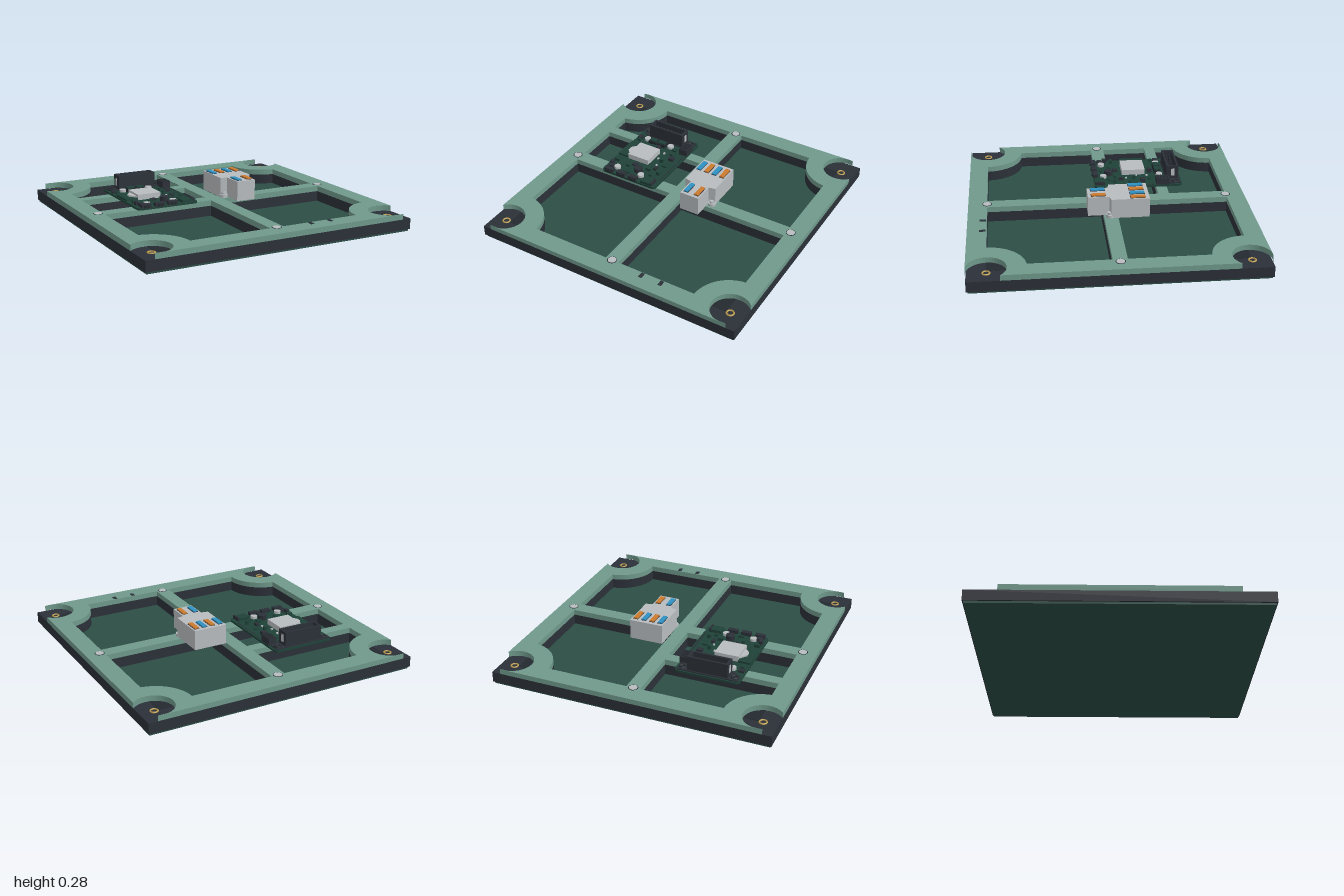
import * as THREE from 'three';

const mat = (name, color) => {
  const m = new THREE.MeshStandardMaterial({ color });
  m.name = name;
  return m;
};

export function createModel() {
  const sage = mat('sage green', 0x6f998b);
  const floorGreen = mat('deep green', 0x2c4d45);
  const charcoal = mat('charcoal', 0x2b3038);
  const shadow = mat('dark slate', 0x23292e);
  const boardGreen = mat('board green', 0x1f4238);
  const grey = mat('light grey', 0xb8bcbf);
  const blue = mat('blue', 0x2e90c2);
  const orange = mat('orange', 0xcc7a2c);
  const brass = mat('brass', 0xb8994c);

  const model = new THREE.Group();
  model.name = 'panelAssembly';
  const group = (name) => {
    const g = new THREE.Group();
    g.name = name;
    model.add(g);
    return g;
  };
  const add = (parent, name, geo, material) => {
    const m = new THREE.Mesh(geo, material);
    m.name = name;
    parent.add(m);
    return m;
  };
  // Box given by its limits on each axis
  const box = (parent, name, material, x0, x1, y0, y1, z0, z1) =>
    add(parent, name, new THREE.BoxGeometry(x1 - x0, y1 - y0, z1 - z0), material)
      .position.set((x0 + x1) / 2, (y0 + y1) / 2, (z0 + z1) / 2);
  const disc = (parent, name, material, x, z, r, y0, y1) =>
    add(parent, name, new THREE.CylinderGeometry(r, r, y1 - y0, 24), material)
      .position.set(x, (y0 + y1) / 2, z);
  // Plan outline (x, z) extruded between two heights
  const slab = (outline, holes, y0, y1) => {
    const shape = new THREE.Shape(outline);
    for (const h of holes) shape.holes.push(new THREE.Path(h));
    return new THREE.ExtrudeGeometry(shape, { depth: y1 - y0, bevelEnabled: false })
      .rotateX(Math.PI / 2).translate(0, y1, 0);
  };
  const V = (x, z) => new THREE.Vector2(x, z);
  const flip = (pts, sx, sz) => pts.map((p) => V(p.x * sx, p.y * sz));
  const rect = (x0, x1, z0, z1) => [V(x0, z0), V(x1, z0), V(x1, z1), V(x0, z1)];
  const CX = 0.9, CZ = 0.87;
  const arc = (r, a0, a1, n) => Array.from({ length: n + 1 }, (_, i) => {
    const a = a0 + ((a1 - a0) * i) / n;
    return V(CX + r * Math.cos(a), CZ + r * Math.sin(a));
  });

  // Pockets with a concave corner around each corner mount
  const R = 0.265;
  const pocket = (z0) => [V(0.05, z0), V(0.87, z0),
    ...arc(R, -Math.acos(-0.03 / R), -Math.PI, 16), V(0.05, 0.87)];
  const pockets = [
    flip(pocket(0.05), 1, 1), flip(pocket(0.05), -1, 1), flip(pocket(0.05), 1, -1),
    flip(pocket(0.46), -1, -1), rect(-0.87, -0.05, -0.38, -0.05),
  ];

  // Cover plate outline, cut away at all four corners
  const notch = arc(0.135, Math.atan2(-0.09, 0.1), Math.atan2(0.13, 0.036) - 2 * Math.PI, 28);
  notch[0].x = 1;
  notch[notch.length - 1].y = 1;
  const outline = [[1, 1], [-1, 1], [-1, -1], [1, -1]].flatMap(([sx, sz]) => {
    const pts = flip(notch, sx, sz);
    return sx * sz < 0 ? pts.reverse() : pts;
  });

  const frame = group('frame');
  box(frame, 'bottomSheet', floorGreen, -0.99, 0.99, 0, 0.015, -0.99, 0.99);
  add(frame, 'core', slab(rect(-1, 1, -1, 1), pockets, 0.015, 0.09), charcoal);
  add(frame, 'coverPlate', slab(outline, pockets, 0.09, 0.13), sage);
  for (const x of [0.25, 0.4]) {
    box(frame, 'edgeSlot', charcoal, x - 0.013, x + 0.013, 0.127, 0.132, 0.875, 0.92);
  }

  // Corner mounts and edge rivets
  for (const sx of [-1, 1]) for (const sz of [-1, 1]) {
    const quarter = [V(0.87, 0.87), V(0.87, 0.738)];
    for (let i = 1; i <= 8; i++) {
      const a = -1.8 - (i / 8) * (Math.PI - 1.8);
      quarter.push(V(CX + 0.134 * Math.cos(a), CZ + 0.134 * Math.sin(a)));
    }
    add(frame, 'cornerRecess', slab(flip(quarter, sx, sz), [], 0.089, 0.092), shadow);
    const ring = add(frame, 'brassInsert', new THREE.TorusGeometry(0.024, 0.006, 8, 24), brass);
    ring.rotation.x = Math.PI / 2;
    ring.position.set(sx * CX, 0.092, sz * CZ);
  }
  for (const [x, z] of [[0, CZ], [0, -CZ], [CX, 0], [-CX, 0]]) {
    disc(frame, 'rivetRim', charcoal, x, z, 0.034, 0.12, 0.131);
    disc(frame, 'rivet', grey, x, z, 0.029, 0.12, 0.133);
  }

  // Circuit board with rounded corners
  const board = group('circuitBoard');
  const corners = [[-0.195, 0.045, 0], [-0.6, 0.045, 1], [-0.6, -0.55, 2], [-0.195, -0.55, 3]];
  const boardOutline = corners.flatMap(([x, z, q]) => [0, 1, 2, 3, 4].map((i) => {
    const a = (q + i / 4) * Math.PI / 2;
    return V(x + 0.03 * Math.cos(a), z + 0.03 * Math.sin(a));
  }));
  add(board, 'boardPlate', slab(boardOutline, [], 0.13, 0.145), boardGreen);
  box(board, 'radioShield', grey, -0.535, -0.36, 0.145, 0.185, -0.32, -0.145);
  add(board, 'shieldTab', slab([V(-0.535, -0.30), V(-0.535, -0.17), V(-0.575, -0.21), V(-0.575, -0.25)],
    [], 0.145, 0.17), grey);
  box(board, 'antenna', boardGreen, -0.625, -0.535, 0.145, 0.16, -0.33, -0.15);
  for (const x of [-0.535, -0.33]) for (const z of [-0.425, 0]) {
    disc(board, 'standoff', grey, x, z, 0.024, 0.145, 0.165);
  }

  // Header connector: base plate, hollow shroud and two rows of pins
  add(board, 'headerBase', slab([V(-0.62, -0.57), V(-0.18, -0.57), V(-0.18, -0.49), V(-0.215, -0.465),
    V(-0.56, -0.465), V(-0.62, -0.51)], [], 0.14, 0.152), charcoal);
  for (const x of [-0.585, -0.21]) {
    const eye = add(board, 'mountEye', new THREE.TorusGeometry(0.02, 0.006, 6, 20), shadow);
    eye.rotation.x = Math.PI / 2;
    eye.position.set(x, 0.153, -0.53);
  }
  add(board, 'headerShroud', slab(rect(-0.545, -0.255, -0.56, -0.47),
    [rect(-0.53, -0.27, -0.545, -0.485)], 0.15, 0.255), charcoal);
  box(board, 'headerFloor', shadow, -0.53, -0.27, 0.15, 0.17, -0.545, -0.485);
  for (const x of [-0.546, -0.254]) {
    box(board, 'headerWindow', grey, x - 0.002, x + 0.002, 0.175, 0.23, -0.53, -0.505);
  }
  for (let i = 0; i < 8; i++) for (const z of [-0.527, -0.503]) {
    const x = -0.505 + i * 0.03;
    box(board, 'headerPin', charcoal, x - 0.005, x + 0.005, 0.17, 0.225, z - 0.005, z + 0.005);
  }

  // Larger board components
  box(board, 'sideSocket', charcoal, -0.23, -0.167, 0.145, 0.195, -0.48, -0.385);
  for (let i = 0; i < 4; i++) {
    box(board, 'socketRib', shadow, -0.225, -0.172, 0.195, 0.199, -0.47 + i * 0.022, -0.46 + i * 0.022);
  }
  for (const x of [-0.475, -0.4]) {
    box(board, 'chipRim', shadow, x - 0.034, x + 0.034, 0.145, 0.17, -0.442, -0.392);
    box(board, 'chipTop', boardGreen, x - 0.028, x + 0.028, 0.17, 0.178, -0.436, -0.398);
  }
  disc(board, 'buzzer', charcoal, -0.378, -0.043, 0.032, 0.145, 0.18);
  for (const x of [-0.568, -0.463, -0.363]) {
    box(board, 'pushButton', charcoal, x - 0.036, x + 0.036, 0.14, 0.17, 0.04, 0.075);
    box(board, 'buttonCap', shadow, x - 0.018, x + 0.018, 0.145, 0.162, 0.07, 0.084);
  }
  box(board, 'powerSocket', boardGreen, -0.29, -0.2, 0.145, 0.165, 0.0, 0.07);
  box(board, 'powerSocketSide', charcoal, -0.21, -0.195, 0.145, 0.17, 0.0, 0.07);
  for (let i = 0; i < 13; i++) {
    disc(board, 'edgePad', charcoal, -0.182, -0.36 + i * 0.027, 0.007, 0.144, 0.148);
  }

  // Scattered small components
  const bits = [[-0.6, -0.43], [-0.59, -0.39], [-0.44, -0.36], [-0.4, -0.36], [-0.28, -0.4], [-0.27, -0.34],
    [-0.24, -0.29], [-0.29, -0.23], [-0.24, -0.19], [-0.28, -0.13], [-0.32, -0.09], [-0.23, -0.08],
    [-0.44, -0.1], [-0.48, -0.06], [-0.59, -0.08], [-0.6, -0.03], [-0.44, 0.01], [-0.27, -0.04], [-0.58, 0.01]];
  bits.forEach(([x, z], i) => {
    const w = i % 2 ? 0.012 : 0.02, d = i % 3 ? 0.01 : 0.018;
    box(board, 'smallComponent', i % 3 ? boardGreen : charcoal, x - w, x + w, 0.145, 0.158 + (i % 4) * 0.005, z - d, z + d);
  });
  for (const [x, z] of [[-0.335, -0.25], [-0.33, -0.33], [-0.3, -0.17]]) {
    box(board, 'solderDot', grey, x - 0.006, x + 0.006, 0.145, 0.155, z - 0.008, z + 0.008);
  }

  // Terminal block with screw ears and coloured levers
  const block = group('terminalBlock');
  add(block, 'blockBody', slab([V(0.055, -0.27), V(0.3, -0.27), V(0.3, 0), V(0.25, 0.01), V(0.25, 0.16),
    V(0.105, 0.16), V(0.105, 0.01), V(0.055, 0)], [], 0.13, 0.273), grey);
  for (const x of [0.077, 0.278]) {
    disc(block, 'screwEar', grey, x, 0.005, 0.03, 0.13, 0.152);
    disc(block, 'earScrew', grey, x, 0.008, 0.018, 0.152, 0.168);
  }
  const lever = (x, z0, z1, m) => {
    box(block, 'leverSlot', charcoal, x - 0.019, x + 0.019, 0.27, 0.2745, z0 - 0.003, z1 + 0.003);
    box(block, 'lever', m, x - 0.016, x + 0.016, 0.27, 0.283, z0, z1);
  };
  [0.083, 0.146, 0.208, 0.27].forEach((x, i) => lever(x, -0.24, -0.138, i % 2 ? orange : blue));
  [0.136, 0.22].forEach((x, i) => lever(x, 0.035, 0.135, i % 2 ? orange : blue));

  return model;
}
